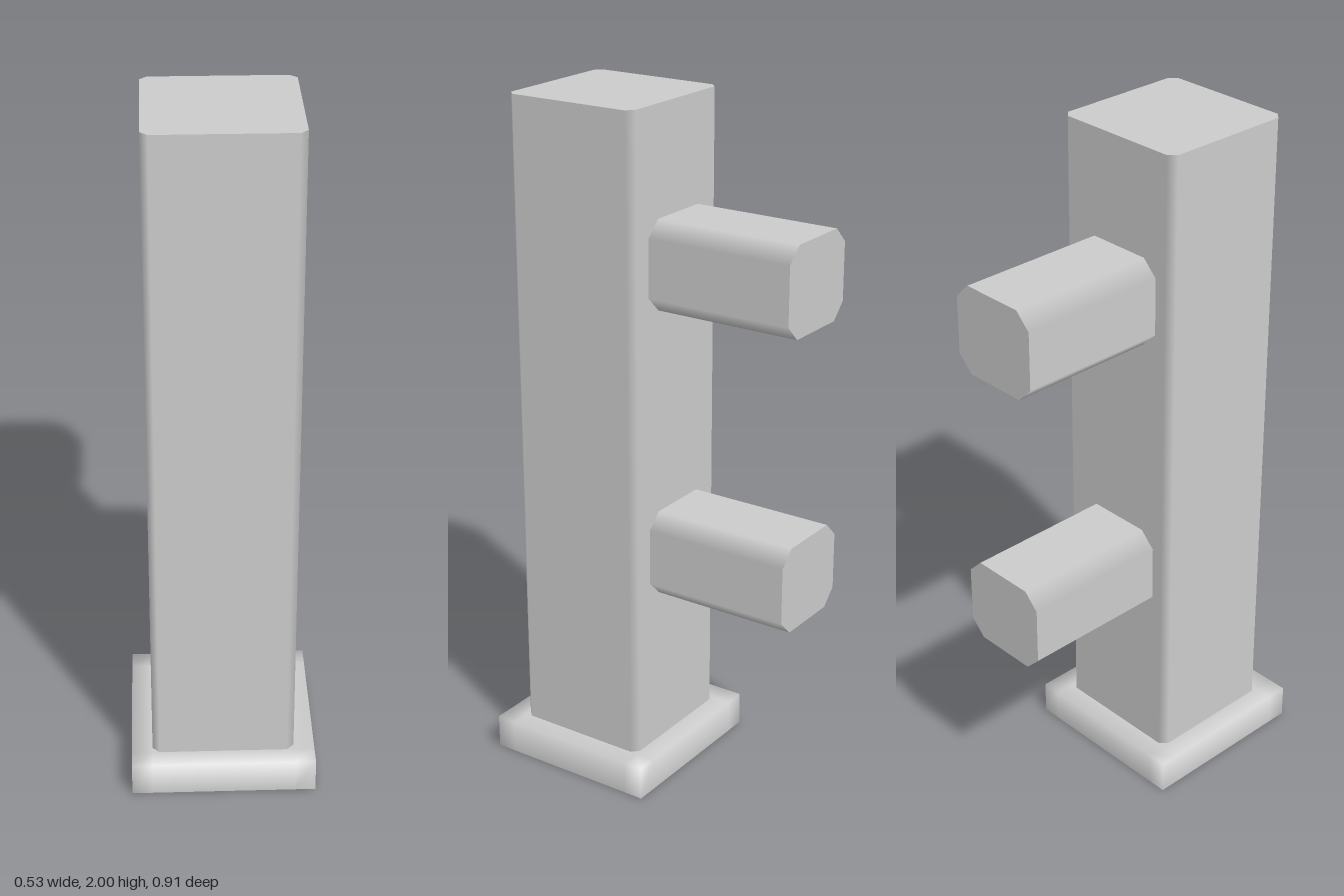
import * as THREE from 'three';

const material = new THREE.MeshStandardMaterial({ color: 0xcccccc });

// Square bar with chamfered long edges, running along z; chamfers shade softly, ends stay sharp.
function chamferedBar(width, height, length, chamfer) {
  const hx = width / 2, hy = height / 2, c = chamfer;
  const shape = new THREE.Shape([
    [hx, -hy + c], [hx, hy - c], [hx - c, hy], [-hx + c, hy],
    [-hx, hy - c], [-hx, -hy + c], [-hx + c, -hy], [hx - c, -hy],
  ].map(([x, y]) => new THREE.Vector2(x, y)));
  const geometry = new THREE.ExtrudeGeometry(shape, { depth: length, bevelEnabled: false });
  const { position, normal } = geometry.attributes;
  for (let i = 0; i < position.count; i++) {
    if (Math.abs(normal.getZ(i)) > 0.9) continue;
    const x = position.getX(i), y = position.getY(i);
    if (Math.abs(x) > hx - 1e-4) normal.setXYZ(i, Math.sign(x), 0, 0);
    else normal.setXYZ(i, 0, Math.sign(y), 0);
  }
  return geometry;
}

// Square slab whose upper and corner edges shade softly; the underside stays flat.
function softSlab(size, height, inner) {
  const geometry = new THREE.BoxGeometry(size, height, size, 3, 1, 3);
  const { position, normal } = geometry.attributes;
  const half = size / 2;
  const snap = (v) => (Math.abs(v) > half - 1e-4 ? v : Math.sign(v) * inner);
  const outward = (v) => (Math.abs(v) > half - 1e-4 ? Math.sign(v) : 0);
  const n = new THREE.Vector3();
  for (let i = 0; i < position.count; i++) {
    const x = snap(position.getX(i)), z = snap(position.getZ(i)), y = position.getY(i);
    position.setXYZ(i, x, y, z);
    if (normal.getY(i) < -0.5) continue;
    n.set(outward(x), y > 0 ? 1 : 0, outward(z)).normalize();
    normal.setXYZ(i, n.x, n.y, n.z);
  }
  return geometry;
}

export function createModel() {
  const model = new THREE.Group();
  model.name = 'postWithPegs';
  const add = (name, geometry, x, y, z) => {
    const mesh = new THREE.Mesh(geometry, material);
    mesh.name = name;
    mesh.position.set(x, y, z);
    model.add(mesh);
  };

  // Foot plate
  add('base', softSlab(0.53, 0.1, 0.205), 0, 0.05, 0.19);

  // Upright post
  add('post', chamferedBar(0.41, 0.41, 1.9, 0.02).rotateX(-Math.PI / 2), 0, 0.1, 0.19);

  // Two pegs reaching out of the back
  const peg = chamferedBar(0.28, 0.256, 0.44, 0.045);
  add('lowerPeg', peg, -0.01, 0.708, -0.455);
  add('upperPeg', peg, -0.01, 1.562, -0.455);

  return model;
}
